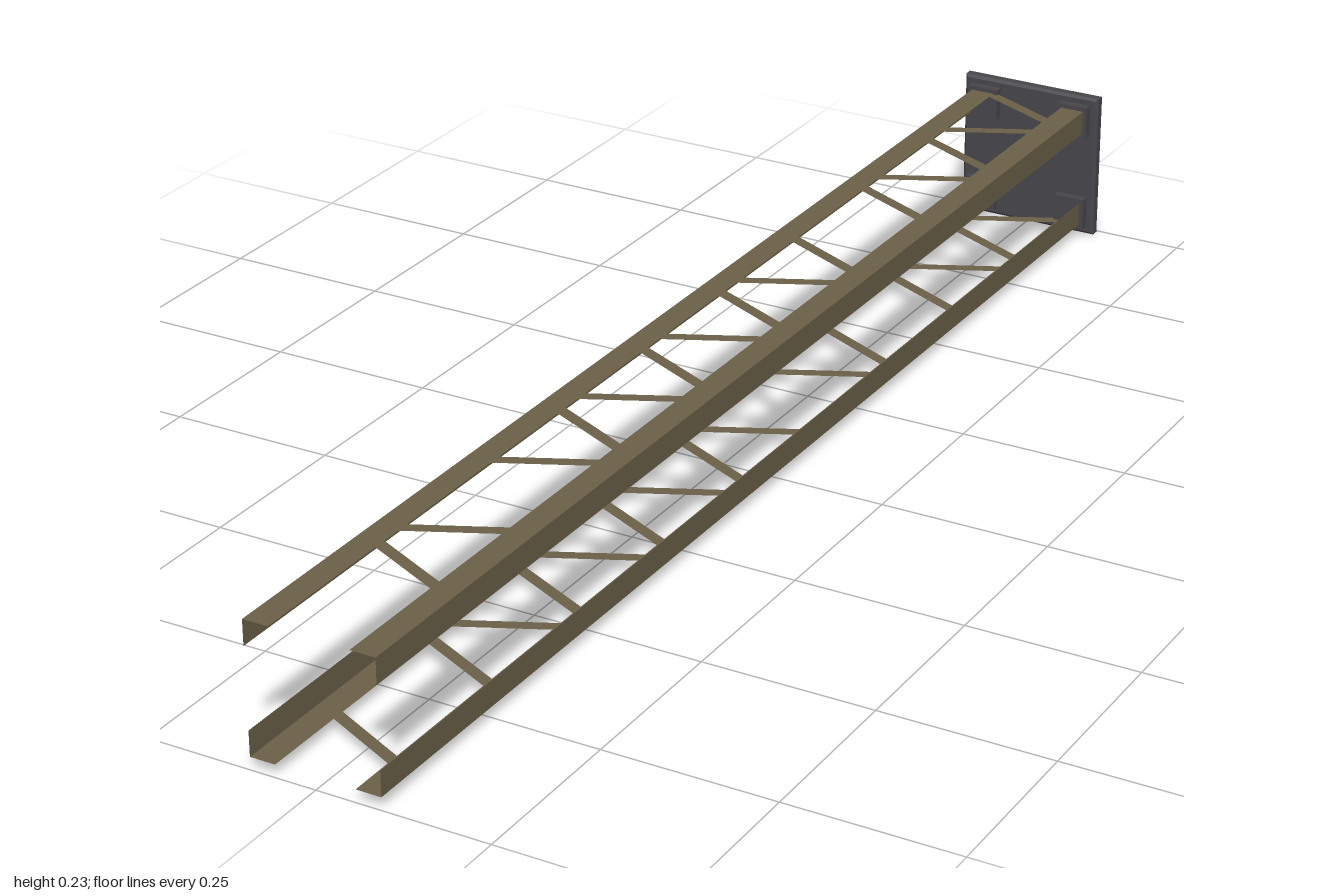
import * as THREE from 'three';

export function createModel() {
  const steel = new THREE.MeshStandardMaterial({ color: 0x6b6049, side: THREE.DoubleSide });
  steel.name = 'weathered brown steel';
  const dark = new THREE.MeshStandardMaterial({ color: 0x47464b });
  dark.name = 'dark grey plate';

  const group = new THREE.Group();
  group.name = 'latticeMast';
  const midY = 0.114, half = 0.0955, flange = 0.037;
  const zBack = -0.98, zFront = 1;

  const add = (geometry, material, name, parent = group) => {
    const mesh = new THREE.Mesh(geometry, material);
    mesh.name = name;
    parent.add(mesh);
    return mesh;
  };

  // End plate with a narrow chamfer
  const p = 0.11, b = 0.004;
  const square = new THREE.Shape([
    new THREE.Vector2(-p, -p), new THREE.Vector2(p, -p),
    new THREE.Vector2(p, p), new THREE.Vector2(-p, p),
  ]);
  const plate = add(new THREE.ExtrudeGeometry(square, {
    depth: 0.012, bevelSize: b, bevelThickness: b, bevelSegments: 1,
  }), dark, 'endPlate');
  plate.position.set(0, midY, -1 + b);

  for (const sx of [-1, 1]) {
    for (const sy of [-1, 1]) {
      // Mounting pad
      add(new THREE.BoxGeometry(0.05, 0.05, 0.016), dark, 'mountingPad')
        .position.set(sx * 0.077, midY + sy * 0.077, -0.975);

      // Angle-section leg: two thin sheets meeting at the outer corner
      const leg = new THREE.Group();
      leg.name = 'angleLeg';
      group.add(leg);
      const length = zFront - zBack, zMid = (zFront + zBack) / 2;
      const flat = add(new THREE.PlaneGeometry(flange, length).rotateX(-sy * Math.PI / 2),
        steel, 'flatFlange', leg);
      flat.position.set(sx * (half - flange / 2), midY + sy * half, zMid);
      const upright = add(new THREE.PlaneGeometry(length, flange).rotateY(sx * Math.PI / 2),
        steel, 'uprightFlange', leg);
      upright.position.set(sx * half, midY + sy * (half - flange / 2), zMid);
    }
  }

  // Flat zigzag braces on the top and bottom faces, with some bays left open
  const bays = 18, pitch = 0.1077, firstZ = -0.937;
  const open = { 1: [5, 14, 17], [-1]: [4, 7, 16] };
  for (const sy of [1, -1]) {
    for (let k = 0; k < bays; k++) {
      if (open[sy].includes(k)) continue;
      const slope = (k % 2 === 0 ? 1 : -1) * sy;
      const brace = add(new THREE.PlaneGeometry(0.145, 0.018).rotateX(-sy * Math.PI / 2),
        steel, sy > 0 ? 'topBrace' : 'bottomBrace');
      brace.position.set(0, midY + sy * (half - 0.0015), firstZ + k * pitch);
      brace.rotation.y = -slope * Math.atan2(0.056, 0.117);
    }
  }
  return group;
}
